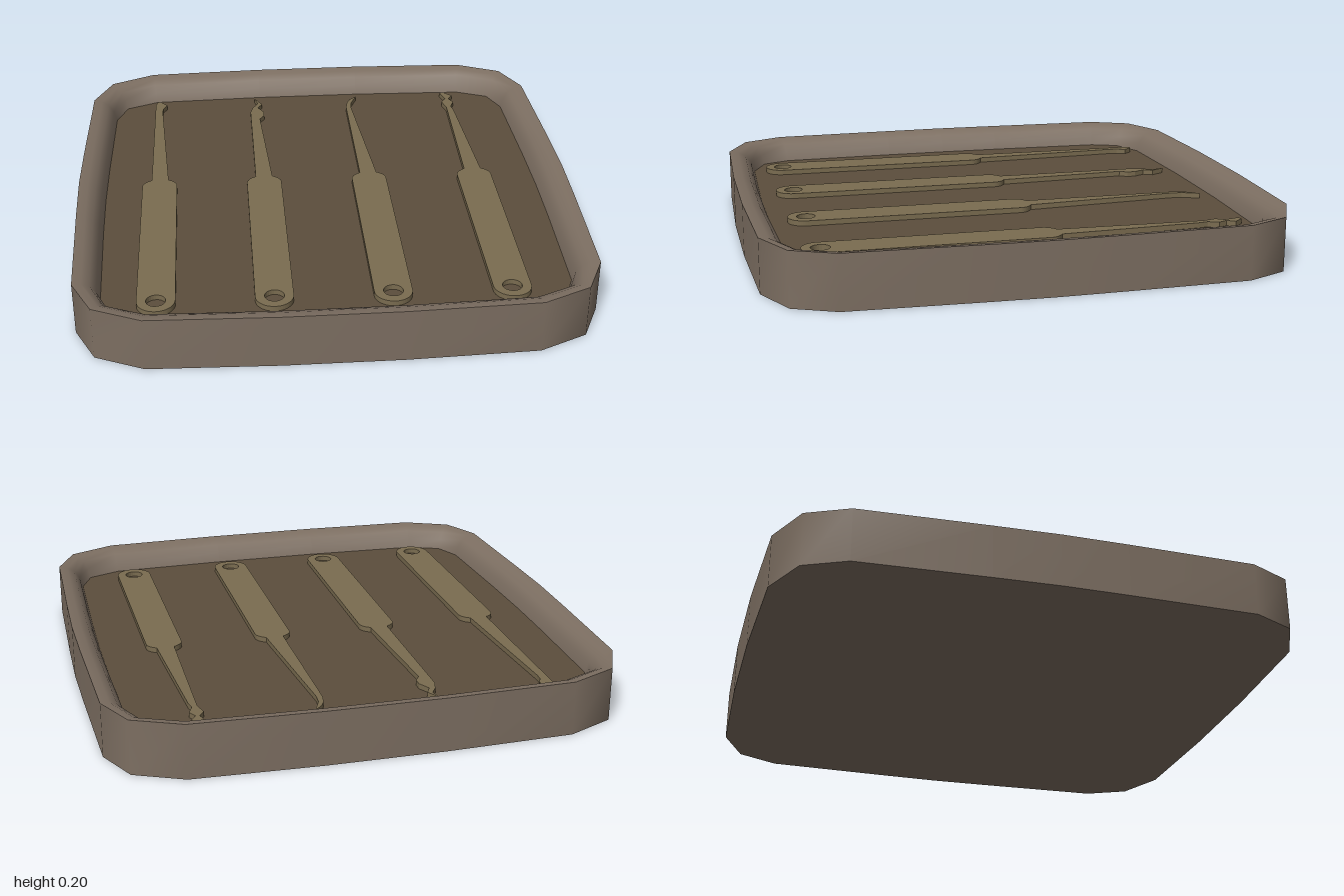
import * as THREE from 'three';

const trayMat = new THREE.MeshStandardMaterial({ color: 0x7d6f62 });
const floorMat = new THREE.MeshStandardMaterial({ color: 0x5c4e3c });
const pickMat = new THREE.MeshStandardMaterial({ color: 0x7a6c50 });

const FLOOR_Y = 0.115;
const TOP_Y = 0.205;

// One quarter of each tray outline, [x, z], from the side to the front
const outerQuarter = [[0.975, 0], [0.97, 0.25], [0.955, 0.74], [0.88, 0.9], [0.7, 0.983], [0.22, 1]];
const innerQuarter = [[0.875, 0], [0.872, 0.25], [0.86, 0.715], [0.815, 0.825], [0.685, 0.88], [0.22, 0.895]];

// Mirror a quarter outline into a closed loop
function fullLoop(q) {
  const flip = (sx, sz) => q.map(([x, z]) => [x * sx, z * sz]);
  return [
    ...q,
    ...flip(-1, 1).reverse(),
    ...flip(-1, -1).slice(1),
    ...flip(1, -1).reverse().slice(0, -1),
  ];
}
const outer = fullLoop(outerQuarter);
const inner = fullLoop(innerQuarter);

// Skin between loops; each ring is [blend from outer to inner, height]
function loft(rings) {
  const n = outer.length, pos = [], idx = [];
  for (const [t, y] of rings) {
    outer.forEach(([x, z], i) => pos.push(x + (inner[i][0] - x) * t, y, z + (inner[i][1] - z) * t));
  }
  for (let k = 0; k < rings.length - 1; k++) {
    for (let j = 0; j < n; j++) {
      const a = k * n + j, b = k * n + (j + 1) % n, c = a + n, d = b + n;
      idx.push(a, c, b, b, c, d);
    }
  }
  const g = new THREE.BufferGeometry();
  g.setAttribute('position', new THREE.Float32BufferAttribute(pos, 3));
  g.setIndex(idx);
  g.computeVertexNormals();
  return g;
}

function plate(loop, y, up) {
  const g = new THREE.ShapeGeometry(new THREE.Shape(loop.map(([x, z]) => new THREE.Vector2(x, z))));
  g.rotateX(up ? -Math.PI / 2 : Math.PI / 2);
  return g.translate(0, y, 0);
}

// Flat pick: rounded handle with a hole, tapering blade and its own tip.
// Tip points are [x, z] from the blade's right side over the end to its left side.
function pickGeometry(tip) {
  const w = 0.07, end = 0.76;
  const s = new THREE.Shape();
  s.moveTo(-w, 0.07);
  s.lineTo(-w, -end);
  s.absarc(0, -end, w, Math.PI, Math.PI * 2, false);
  s.lineTo(w, 0.07);
  s.quadraticCurveTo(w, 0.1, 0.035, 0.12);
  for (const [x, z] of tip) s.lineTo(x, -z);
  s.lineTo(-0.033, 0.12);
  s.quadraticCurveTo(-w, 0.1, -w, 0.07);
  const hole = new THREE.Path();
  hole.absarc(0, -end, 0.036, 0, Math.PI * 2, true);
  s.holes.push(hole);
  const g = new THREE.ExtrudeGeometry(s, { depth: 0.02, bevelEnabled: false, curveSegments: 12 });
  return g.rotateX(-Math.PI / 2);
}

const picks = [
  { name: 'hookPick', x: -0.66,
    tip: [[0.002, -0.74], [0.004, -0.77], [0.021, -0.805], [-0.008, -0.84], [-0.021, -0.842], [-0.03, -0.81]] },
  { name: 'wavePick', x: -0.235,
    tip: [[0.006, -0.64], [0.026, -0.67], [0.026, -0.705], [0.002, -0.75], [0.021, -0.785], [-0.01, -0.842],
      [0.002, -0.79], [-0.02, -0.755], [-0.033, -0.71]] },
  { name: 'curvedPick', x: 0.195,
    tip: [[-0.012, -0.72], [-0.008, -0.765], [0.02, -0.832], [-0.012, -0.8], [-0.026, -0.77], [-0.034, -0.725]] },
  { name: 'doubleHookPick', x: 0.63,
    tip: [[0.008, -0.66], [0.001, -0.7], [0.018, -0.74], [0.001, -0.775], [0.021, -0.805], [-0.013, -0.842],
      [-0.03, -0.836], [-0.014, -0.775], [-0.034, -0.745], [-0.02, -0.69]] },
];

export function createModel() {
  const model = new THREE.Group();
  const add = (name, geometry, material) => {
    const mesh = new THREE.Mesh(geometry, material);
    mesh.name = name;
    model.add(mesh);
    return mesh;
  };

  // Tray shell: straight wall, rim rolling down to the floor, underside
  add('trayWall', loft([[0, 0], [0, TOP_Y]]), trayMat);
  add('trayRim', loft([[0, TOP_Y], [0.35, 0.2], [0.65, 0.185], [0.87, 0.155], [1, FLOOR_Y]]), trayMat);
  add('trayBase', plate(outer, 0, false), trayMat);
  add('trayFloor', plate(inner, FLOOR_Y, true), floorMat);

  // Row of picks lying on the floor
  for (const { name, x, tip } of picks) {
    add(name, pickGeometry(tip), pickMat).position.set(x, FLOOR_Y, 0);
  }
  return model;
}
